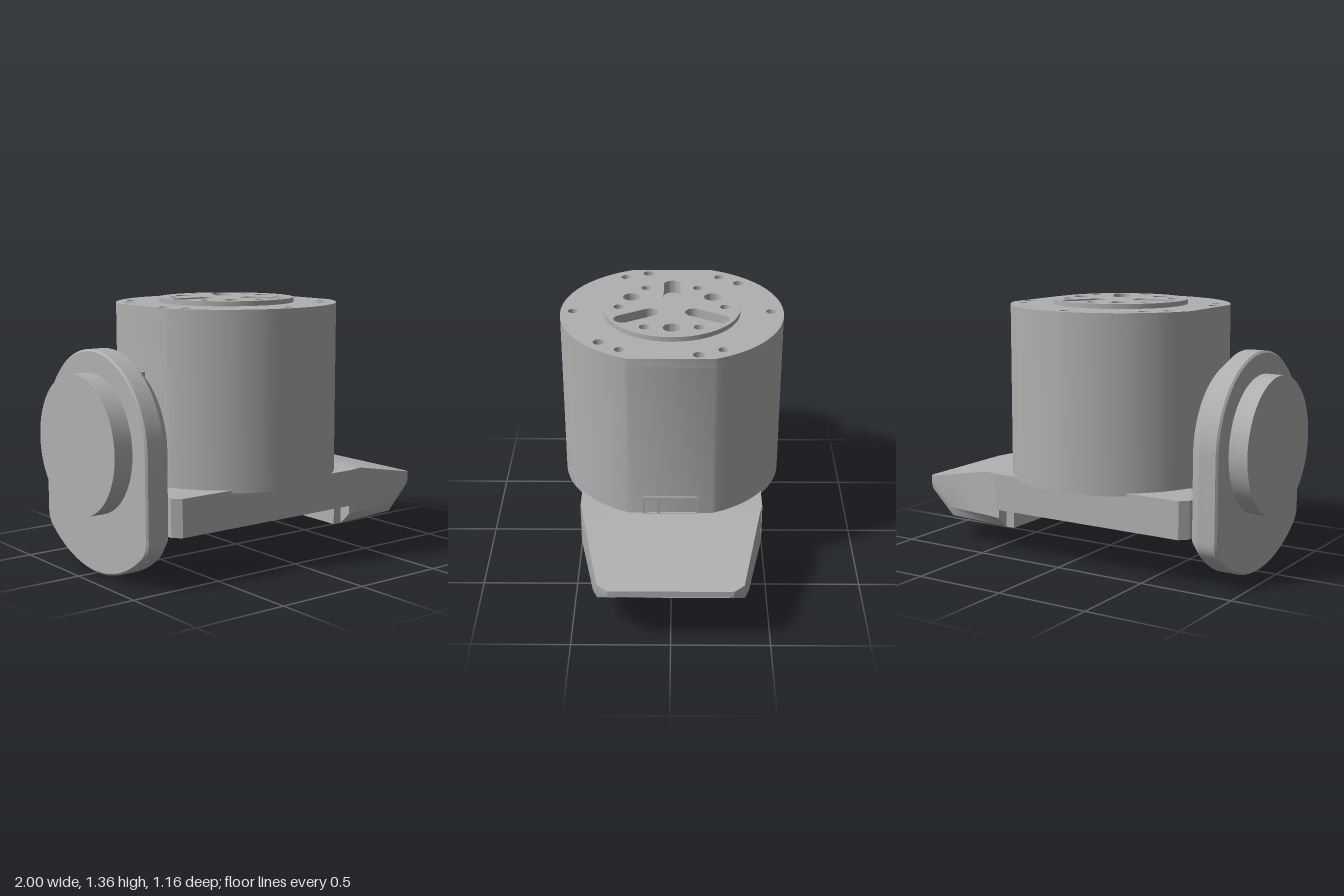
import * as THREE from 'three';
import { toCreasedNormals } from 'three/addons/utils/BufferGeometryUtils.js';

const grey = new THREE.MeshStandardMaterial({ color: 0xb0b0b0 });
grey.name = 'machined grey';

const CX = -0.065; // axis of the motor body

function part(name, geometry) {
  const mesh = new THREE.Mesh(toCreasedNormals(geometry, 0.5), grey);
  mesh.name = name;
  return mesh;
}

function box(name, x0, x1, y0, y1, z0, z1) {
  const g = new THREE.BoxGeometry(x1 - x0, y1 - y0, z1 - z0);
  return part(name, g.translate((x0 + x1) / 2, (y0 + y1) / 2, (z0 + z1) / 2));
}

function rod(name, r, x, y0, y1, z, sides = 16) {
  return part(name, new THREE.CylinderGeometry(r, r, y1 - y0, sides).translate(x, (y0 + y1) / 2, z));
}

const polygon = (pts) => new THREE.Shape(pts.map(([x, y]) => new THREE.Vector2(x, y)));
const circle = (x, y, r) => new THREE.Shape().absarc(x, y, r, 0, Math.PI * 2);

// Rounded slot of radius r between two points
function slot(ax, ay, bx, by, r) {
  const a = Math.atan2(by - ay, bx - ax);
  return new THREE.Shape()
    .absarc(bx, by, r, a - Math.PI / 2, a + Math.PI / 2)
    .absarc(ax, ay, r, a + Math.PI / 2, a + Math.PI * 1.5);
}

// Upright extrusion of a plan shape (x, -z) between two heights
function slab(name, shape, y0, y1) {
  const g = new THREE.ExtrudeGeometry(shape, { depth: y1 - y0, bevelEnabled: false, curveSegments: 32 });
  return part(name, g.rotateX(-Math.PI / 2).translate(0, y0, 0));
}

// Skin over rings of [z, y] points set at increasing x, closed at both ends
function loft(name, rings, skip = () => false) {
  const n = rings[0].pts.length, pos = [], idx = [];
  rings.forEach(({ x, pts }) => pts.forEach(([z, y]) => pos.push(x, y, z)));
  for (let s = 0; s < rings.length - 1; s++) {
    for (let i = 0; i < n; i++) {
      if (skip(s, i)) continue;
      const a = s * n + i, b = s * n + (i + 1) % n;
      idx.push(a, a + n, b, b, a + n, b + n);
    }
  }
  const cap = (ring) => THREE.ShapeUtils.triangulateShape(ring.pts.map(([z, y]) => new THREE.Vector2(z, y)), []);
  const end = (rings.length - 1) * n;
  cap(rings[0]).forEach(([a, b, c]) => idx.push(a, b, c));
  cap(rings[rings.length - 1]).forEach(([a, b, c]) => idx.push(end + a, end + c, end + b));
  const g = new THREE.BufferGeometry();
  g.setAttribute('position', new THREE.Float32BufferAttribute(pos, 3));
  g.setIndex(idx);
  return part(name, g);
}

// Round motor outline with two flats
function bodyShape() {
  const r = 0.58, a = Math.acos(0.54 / r);
  return new THREE.Shape()
    .absarc(CX, 0, r, a, Math.PI - a)
    .absarc(CX, 0, r, Math.PI + a, Math.PI * 2 - a);
}

function motor() {
  const g = new THREE.Group();
  g.name = 'motor';
  g.add(slab('motorBody', bodyShape(), 0.425, 1.29));

  // Top rim with screw holes
  const rim = bodyShape();
  rim.holes.push(circle(CX, 0, 0.35));
  for (const [x, z] of [[0, 0.515], [0, -0.515], [0.44, 0.255], [0.44, -0.255], [-0.44, 0.255], [-0.44, -0.255]])
    rim.holes.push(circle(CX + x, -z, 0.026));
  for (const [x, z] of [[-0.425, -0.36], [0.43, -0.135], [0.295, 0.36], [-0.555, 0.13]])
    rim.holes.push(circle(x, -z, 0.03));
  g.add(slab('motorRim', rim, 1.29, 1.335));

  // Output disc with holes and three slots
  const disc = circle(CX, 0, 0.355);
  for (let i = 0; i < 6; i++) {
    const a = Math.PI / 6 + i * Math.PI / 3;
    disc.holes.push(circle(CX + 0.276 * Math.cos(a), 0.276 * Math.sin(a), 0.027));
  }
  for (let i = 0; i < 3; i++) {
    const a = i * Math.PI * 2 / 3, b = a + Math.PI / 3;
    disc.holes.push(circle(CX + 0.246 * Math.cos(a), 0.246 * Math.sin(a), 0.045));
    const c = Math.cos(b), s = Math.sin(b);
    disc.holes.push(slot(CX + 0.13 * c, 0.13 * s, CX + 0.29 * c, 0.29 * s, 0.045));
  }
  g.add(slab('outputDisc', disc, 1.29, 1.36));

  // Port frame on the flat
  const frame = polygon([[-0.145, 0.435], [0.14, 0.435], [0.14, 0.54], [-0.145, 0.54]]);
  frame.holes.push(polygon([[-0.135, 0.445], [-0.07, 0.445], [-0.07, 0.53], [-0.135, 0.53]]));
  frame.holes.push(polygon([[-0.058, 0.445], [0.13, 0.445], [0.13, 0.53], [-0.04, 0.53], [-0.058, 0.512]]));
  const fg = new THREE.ExtrudeGeometry(frame, { depth: 0.009, bevelEnabled: false });
  g.add(part('portFrame', fg.rotateY(Math.PI / 2).translate(0.474, 0, 0)));
  return g;
}

// Half outline of the side plate shrunk by d, starting at z = n below the hub
function plateRing(x, d, notch) {
  const cy = 0.665, R = 0.665, r = 0.11, zc = 0.47 - r;
  const yc = cy - Math.sqrt((R - r) ** 2 - zc ** 2);
  const n = notch ? 0.175 : 0.001, half = [];
  const arc = (z, y, rad, a0, a1, k) => {
    for (let i = 0; i <= k; i++) {
      const a = a0 + (a1 - a0) * i / k;
      half.push([z + rad * Math.cos(a), y + rad * Math.sin(a)]);
    }
  };
  const a0 = Math.atan2(yc - cy, zc);
  if (notch) half.push([n, 0.42]);
  arc(0, cy, R - d, -Math.acos(n / (R - d)), a0 - 0.01, 10);
  arc(zc, yc, r - d, a0, 0, 6);
  arc(0, cy, 0.47 - d, 0, Math.PI / 2 - 0.02, 24);
  return { x, pts: [...half, ...half.map(([z, y]) => [-z, y]).reverse()] };
}

function sideWheel() {
  const g = new THREE.Group();
  g.name = 'sidePlate';
  g.add(loft('plateBack', [plateRing(-0.9, 0.01, false), plateRing(-0.89, 0, false), plateRing(-0.865, 0, false)]));
  g.add(loft('plateFront', [plateRing(-0.865, 0, true), plateRing(-0.8, 0, true), plateRing(-0.735, 0.062, true)]));
  const hub = new THREE.CylinderGeometry(0.355, 0.355, 0.105, 64).rotateZ(Math.PI / 2);
  g.add(part('hub', hub.translate(-0.9475, 0.665, 0)));
  return g;
}

function base() {
  const g = new THREE.Group();
  g.name = 'base';
  for (const s of [1, -1]) {
    const arm = polygon([[-0.735, 0.21], [0.42, 0.21], [0.42, 0.475], [-0.695, 0.475], [-0.735, 0.435]].map(([x, z]) => [x, s * z]));
    for (const x of [-0.47, 0.25]) arm.holes.push(circle(x, s * 0.35, 0.045));
    g.add(slab(s > 0 ? 'rightArm' : 'leftArm', arm, 0.245, 0.44));
  }
  g.add(box('crossBar', -0.1, 0.05, 0.33, 0.43, -0.22, 0.22));
  g.add(box('frontCrossBar', 0.25, 0.42, 0.3, 0.43, -0.22, 0.22));
  return g;
}

function foot() {
  const g = new THREE.Group();
  g.name = 'foot';
  // x, half width, bottom half width, bottom, top, chamfer height
  const stations = [
    [0.4, 0.475, 0.41, 0.14, 0.44, 0.06], [0.5, 0.455, 0.4, 0.14, 0.44, 0.06],
    [0.8, 0.395, 0.375, 0.14, 0.377, 0.05], [0.96, 0.362, 0.352, 0.268, 0.343, 0.03],
    [1, 0.31, 0.305, 0.3, 0.335, 0.01],
  ];
  const rings = stations.map(([x, h, b, y0, y1, c]) => ({
    x, pts: [[-b, y0], [b, y0], [h, y0 + c], [h, y1], [-h, y1], [-h, y0 + c]],
  }));
  g.add(loft('footShell', rings, (s, i) => i === 0 && s >= 2));
  g.add(box('footHeel', 0.35, 0.41, 0.14, 0.25, -0.41, 0.41));

  // Sloping nose face with a recessed slot
  const m = new THREE.Matrix4().makeBasis(
    new THREE.Vector3(0.781, 0.625, 0), new THREE.Vector3(0, 0, 1), new THREE.Vector3(0.625, -0.781, 0));
  m.setPosition(0.8, 0.14, 0);
  const face = polygon([[0, -0.375], [0.205, -0.352], [0.256, -0.305], [0.256, 0.305], [0.205, 0.352], [0, 0.375]]);
  face.holes.push(slot(0.13, -0.262, 0.13, 0.262, 0.088));
  const fg = new THREE.ExtrudeGeometry(face, { depth: 0.03, bevelEnabled: false, curveSegments: 16 });
  g.add(part('noseFace', fg.translate(0, 0, -0.03).applyMatrix4(m)));
  const floor = new THREE.ShapeGeometry(slot(0.13, -0.262, 0.13, 0.262, 0.089), 16);
  g.add(part('noseSlotFloor', floor.translate(0, 0, -0.028).applyMatrix4(m)));

  // Screws underneath
  for (const z of [0.2, -0.2]) {
    g.add(part('screwRing', new THREE.TorusGeometry(0.04, 0.006, 6, 24).rotateX(Math.PI / 2).translate(0.47, 0.14, z)));
    g.add(rod('screwHead', 0.024, 0.47, 0.134, 0.15, z, 6));
  }
  return g;
}

function connector() {
  const g = new THREE.Group();
  g.name = 'connector';
  g.add(box('plug', -0.655, -0.6, 0.445, 0.53, -0.13, 0.13));
  for (const z of [0, 0.1]) {
    g.add(rod('cableSleeve', 0.038, -0.698, 0.65, 1.02, z, 8));
    g.add(rod('cableCore', 0.014, -0.675, 0.45, 0.66, z, 8));
    g.add(box('cableTerminal', -0.715, -0.65, 0.455, 0.485, z - 0.02, z + 0.02));
  }
  for (const z of [-0.12, -0.08]) g.add(box('pin', -0.71, -0.65, 0.46, 0.48, z - 0.012, z + 0.012));
  return g;
}

export function createModel() {
  const model = new THREE.Group();
  model.name = 'motorModule';
  model.add(motor(), sideWheel(), base(), foot(), connector());
  return model;
}
